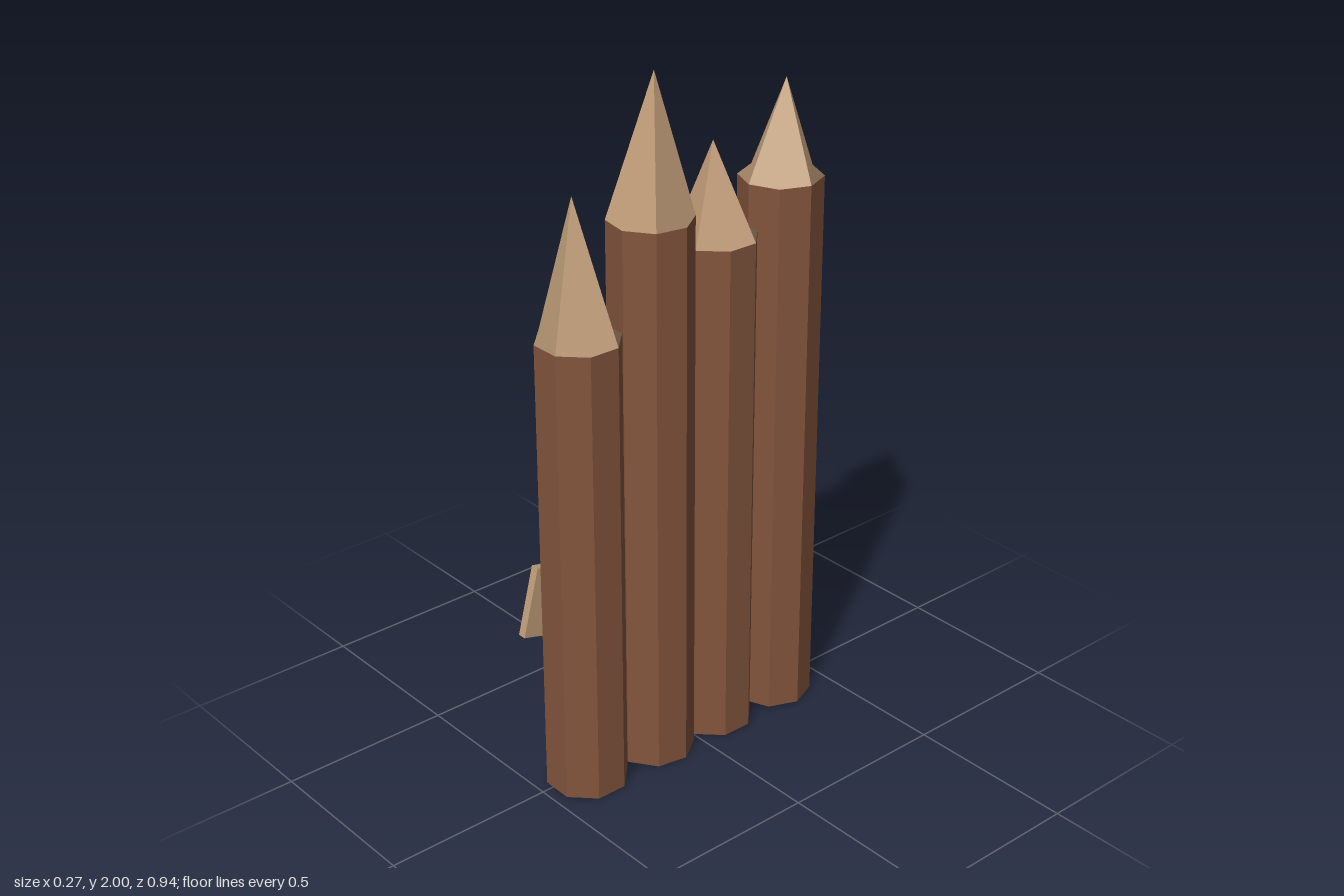
import * as THREE from 'three';

const paint = (color) => new THREE.MeshStandardMaterial({ color, flatShading: false, roughness: 0.9 });

// Sharpened point: four kite-shaped facets on an octagonal rim, each shaded with one normal
function tipGeometry(radius, turn, apex) {
  const rim = (i) => {
    const a = turn + (i * Math.PI) / 4;
    return new THREE.Vector3(radius * Math.cos(a), 0, radius * Math.sin(a));
  };
  const positions = [], normals = [];
  for (let i = 0; i < 8; i += 2) {
    const a = rim(i), b = rim(i + 1), c = rim(i + 2);
    const n = a.clone().sub(c).cross(apex.clone().sub(b)).normalize();
    for (const p of [c, a, apex, c, b, a]) {
      positions.push(p.x, p.y, p.z);
      normals.push(n.x, n.y, n.z);
    }
  }
  const g = new THREE.BufferGeometry();
  g.setAttribute('position', new THREE.Float32BufferAttribute(positions, 3));
  g.setAttribute('normal', new THREE.Float32BufferAttribute(normals, 3));
  return g;
}

export function createModel() {
  const model = new THREE.Group();
  model.name = 'palisade';
  const bark = paint(0x83553d);
  bark.flatShading = true;
  const cutWood = paint(0xbf9c78);
  const iron = paint(0x6c747c);
  iron.flatShading = true;

  const add = (parent, name, geometry, material, x = 0, y = 0, z = 0) => {
    const mesh = new THREE.Mesh(geometry, material);
    mesh.name = name;
    mesh.position.set(x, y, z);
    parent.add(mesh);
    return mesh;
  };

  // Stakes: octagonal logs with off-centre points
  const radius = 0.117;
  const stakes = [
    { x: 0.018, z: -0.344, turn: 0, height: 1.615, tip: [0.02, 1.885, -0.355] },
    { x: 0.018, z: -0.111, turn: -22.5, height: 1.5, tip: [0.02, 1.77, -0.098] },
    { x: 0.02, z: 0.115, turn: 33, height: 1.61, tip: [0.025, 2.0, 0.105] },
    { x: 0.018, z: 0.356, turn: -22, height: 1.34, tip: [0.008, 1.725, 0.36] },
  ];
  for (const s of stakes) {
    const stake = new THREE.Group();
    stake.name = 'stake';
    stake.position.set(s.x, 0, s.z);
    model.add(stake);
    const turn = THREE.MathUtils.degToRad(s.turn);
    const log = new THREE.CylinderGeometry(radius, radius, s.height, 8, 1, false, Math.PI / 2 - turn);
    add(stake, 'log', log, bark, 0, s.height / 2 - 0.0005, 0);
    const apex = new THREE.Vector3(s.tip[0] - s.x, s.tip[1] - s.height, s.tip[2] - s.z);
    add(stake, 'sharpenedTip', tipGeometry(radius, turn, apex), cutWood, 0, s.height, 0);
  }

  // Slanted boards holding the stakes together
  const boards = [
    { name: 'upperBoard', y: 1.2, z: -0.12, length: 0.672, slope: 0.398 },
    { name: 'lowerBoard', y: 0.43, z: 0.02, length: 0.878, slope: -0.253 },
  ];
  for (const b of boards) {
    const board = add(model, b.name, new THREE.BoxGeometry(0.025, 0.206, b.length), cutWood, -0.1125, b.y, b.z);
    board.rotation.x = b.slope;
  }

  // Nails: flat heads on short shanks
  for (const [y, z, r] of [[1.25, -0.172, 0.041], [0.583, 0.384, 0.029], [0.293, -0.374, 0.018]]) {
    const nail = new THREE.Group();
    nail.name = 'nail';
    nail.position.set(-0.125, y, z);
    nail.rotation.z = Math.PI / 2;
    model.add(nail);
    add(nail, 'nailHead', new THREE.CylinderGeometry(r * 0.9, r, 0.008, 8), iron, 0, 0.008, 0);
    add(nail, 'nailShank', new THREE.CylinderGeometry(r * 0.55, r * 0.55, 0.012, 8), iron);
  }
  return model;
}
